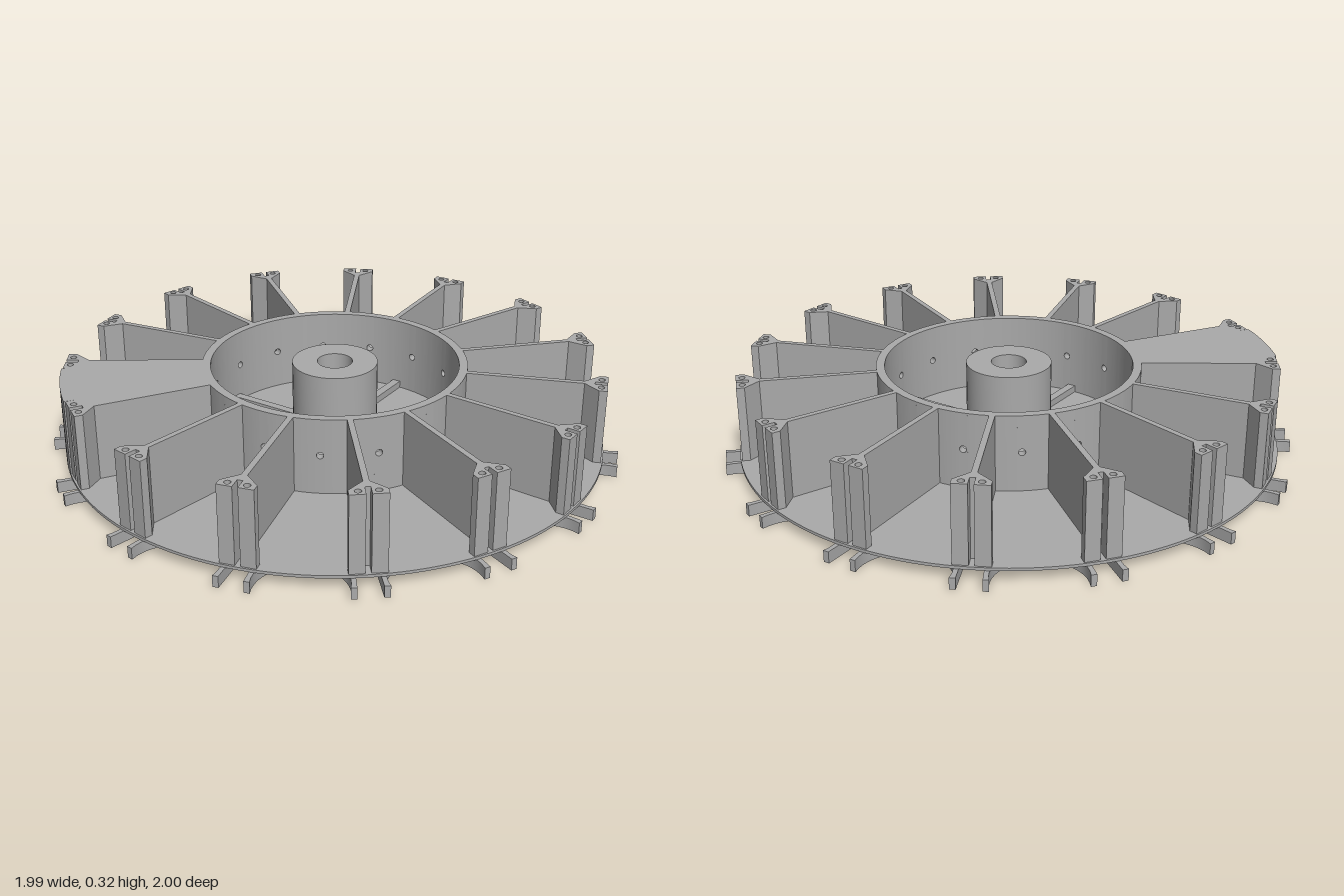
import * as THREE from 'three';
import { toCreasedNormals } from 'three/addons/utils/BufferGeometryUtils.js';

const COUNT = 15;                       // stations around the wheel
const STEP = (Math.PI * 2) / COUNT;
const TOP = 0.32, FLOOR = 0.05;

export function createModel() {
  const group = new THREE.Group();
  group.position.x = -0.008;
  const root = new THREE.Group();
  root.name = 'finnedWheel';
  root.add(group);

  const grey = new THREE.MeshStandardMaterial({ color: 0xaaaaaa });
  grey.name = 'grey';

  const add = (name, geometry, angle = 0) => {
    const mesh = new THREE.Mesh(geometry, grey);
    mesh.name = name;
    mesh.rotation.y = angle;
    group.add(mesh);
    return mesh;
  };
  // Extrude a plan shape upward between two heights
  const slab = (shape, y0, y1, curveSegments = 48) => {
    const g = new THREE.ExtrudeGeometry(shape, { depth: y1 - y0, bevelEnabled: false, curveSegments });
    g.rotateX(-Math.PI / 2).translate(0, y0, 0);
    return toCreasedNormals(g, 0.5);
  };
  const circle = (r, x = 0, y = 0) => new THREE.Path().absarc(x, y, r, 0, Math.PI * 2, true);
  const polygon = (pts) => new THREE.Shape(pts.map(([x, y]) => new THREE.Vector2(x, y)));

  // Scalloped base: a round-ended open slot between two teeth at each station
  const outline = [];
  const slotR = 0.032, scoopR = 0.15, scoopC = 0.98;
  const scoop = new THREE.Vector2(Math.cos(STEP / 2), Math.sin(STEP / 2)).multiplyScalar(scoopC);
  const toothY = scoop.y - Math.sqrt(scoopR ** 2 - (1 - scoop.x) ** 2);
  for (let k = 0; k < COUNT; k++) {
    const local = [[1, -toothY], [1, -0.04]];
    for (let i = 0; i <= 10; i++) {
      const a = -Math.PI / 2 - (i / 10) * Math.PI;
      local.push([0.815 + slotR * Math.cos(a), slotR * Math.sin(a)]);
    }
    local.push([1, 0.04], [1, toothY]);
    // Concave arc to the next station, mirrored about the mid angle
    const start = Math.atan2(toothY - scoop.y, 1 - scoop.x);
    const end = STEP - start;
    const sweep = Math.PI * 2 - (end - start);
    for (let i = 1; i < 20; i++) {
      const a = start - (i / 20) * sweep;
      local.push([scoop.x + scoopR * Math.cos(a), scoop.y + scoopR * Math.sin(a)]);
    }
    for (const [x, y] of local) {
      outline.push(new THREE.Vector2(x, y).rotateAround(new THREE.Vector2(), k * STEP));
    }
  }
  const base = new THREE.Shape(outline);
  base.holes.push(circle(0.112));
  add('scallopedBase', slab(base, 0, 0.04));

  // Thin full disc on top of the base
  const disc = new THREE.Shape().absarc(0, 0, 0.95, 0, Math.PI * 2);
  disc.holes.push(circle(0.112));
  add('disc', slab(disc, 0.04, FLOOR, 80));

  // Hub with a shaft bore and a wider counterbore underneath
  const hubProfile = [[0.112, 0.04], [0.15, 0.04], [0.15, TOP], [0.062, TOP], [0.062, 0.11], [0.112, 0.11], [0.112, 0.04]];
  add('hub', toCreasedNormals(new THREE.LatheGeometry(
    hubProfile.map(([x, y]) => new THREE.Vector2(x, y)), 48), 0.5));

  // Low ribs between hub and inner ring
  for (let k = 0; k < 4; k++) {
    add('hubRib', new THREE.BoxGeometry(0.3, 0.03, 0.03).translate(0.29, 0.06, 0),
      Math.PI / 4 + k * Math.PI / 2);
  }

  // Inner ring: curved walls joined by small drilled panels
  const rIn = 0.435, rOut = 0.465, half = 0.035;
  const arc = new THREE.Shape();
  const reach = STEP / 2 - half;
  arc.absarc(0, 0, rOut, -reach, reach, false);
  arc.absarc(0, 0, rIn, reach, -reach, true);
  const wall = slab(arc, FLOOR, TOP, 10);
  const w = rOut * Math.sin(half);
  const panel = polygon([[-w, FLOOR], [w, FLOOR], [w, TOP], [-w, TOP]]);
  panel.holes.push(circle(0.012, 0, 0.19));
  const drilled = new THREE.ExtrudeGeometry(panel, { depth: rOut - rIn, bevelEnabled: false, curveSegments: 16 });
  drilled.translate(0, 0, rIn * Math.cos(half)).rotateY(Math.PI / 2);

  // Fin and its flared post with a central groove and two pin holes
  const fin = new THREE.BoxGeometry(0.43, TOP - FLOOR, 0.02).translate(0.675, (TOP + FLOOR) / 2, 0);
  const post = polygon([
    [0.865, -0.01], [0.915, -0.06], [0.943, -0.06], [0.943, -0.009], [0.9, -0.009],
    [0.9, 0.009], [0.943, 0.009], [0.943, 0.06], [0.915, 0.06], [0.865, 0.01],
  ]);
  for (const s of [-1, 1]) post.holes.push(circle(0.011, 0.922, s * 0.031));
  const postGeometry = slab(post, FLOOR, TOP, 12);

  for (let k = 0; k < COUNT; k++) {
    add('ringWall', wall, k * STEP);
    add('drilledRingPanel', drilled, (k + 0.5) * STEP);
    add('fin', fin, k * STEP);
    add('finPost', postGeometry, k * STEP);
  }

  // One sector is solid to full height
  const wedge = new THREE.Shape();
  const wide = STEP / 2 - 0.008, narrow = STEP / 2 - 0.066;
  wedge.absarc(0, 0, 0.95, -narrow, narrow, false);
  wedge.lineTo(0.918 * Math.cos(narrow), 0.918 * Math.sin(narrow));
  wedge.lineTo(0.87 * Math.cos(wide), 0.87 * Math.sin(wide));
  wedge.absarc(0, 0, 0.462, wide, -wide, true);
  wedge.lineTo(0.87 * Math.cos(wide), -0.87 * Math.sin(wide));
  wedge.lineTo(0.918 * Math.cos(narrow), -0.918 * Math.sin(narrow));
  add('solidSector', slab(wedge, FLOOR, TOP, 16), Math.PI);

  return root;
}
